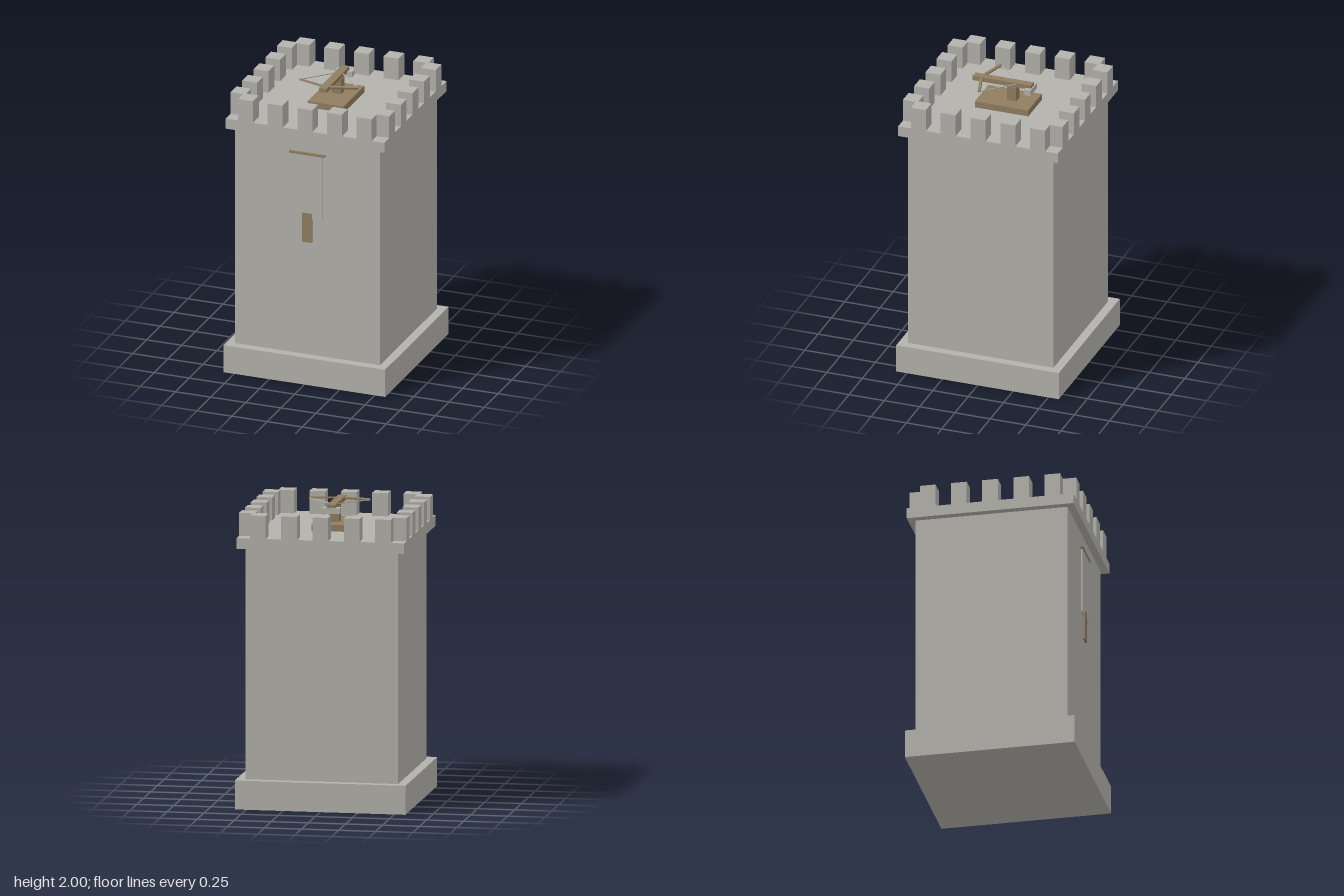
import * as THREE from 'three';

const stone = new THREE.MeshStandardMaterial({ color: 0xb4b2ab });
stone.name = 'stone grey';
const wood = new THREE.MeshStandardMaterial({ color: 0x917e61 });
wood.name = 'wood brown';

// Box given by its min and max on each axis
function box(parent, name, mat, [x0, x1], [y0, y1], [z0, z1]) {
  const m = new THREE.Mesh(new THREE.BoxGeometry(x1 - x0, y1 - y0, z1 - z0), mat);
  m.position.set((x0 + x1) / 2, (y0 + y1) / 2, (z0 + z1) / 2);
  m.name = name;
  parent.add(m);
  return m;
}

// Square bar running between two points
function bar(parent, name, mat, a, b, w, h) {
  const p = new THREE.Vector3(...a), q = new THREE.Vector3(...b);
  const m = new THREE.Mesh(new THREE.BoxGeometry(w, h, p.distanceTo(q)), mat);
  m.position.copy(p).add(q).multiplyScalar(0.5);
  m.lookAt(q);
  m.name = name;
  parent.add(m);
  return m;
}

function group(parent, name) {
  const g = new THREE.Group();
  g.name = name;
  parent.add(g);
  return g;
}

export function createModel() {
  const model = new THREE.Group();
  model.name = 'watchtower';

  // Tower masonry
  box(model, 'plinth', stone, [-0.575, 0.575], [0, 0.195], [-0.575, 0.575]);
  box(model, 'towerBody', stone, [-0.515, 0.515], [0.195, 1.75], [-0.515, 0.515]);
  box(model, 'parapetSlab', stone, [-0.565, 0.565], [1.75, 1.822], [-0.565, 0.565]);

  // Five merlons per side, leaving the very corners open
  for (let side = 0; side < 4; side++) {
    const row = group(model, 'merlonRow');
    row.rotation.y = side * Math.PI / 2;
    for (let i = -2; i <= 2; i++) {
      const x = i * 0.211;
      box(row, 'merlon', stone, [x - 0.053, x + 0.053], [1.822, 1.977], [0.459, 0.565]);
    }
  }

  // Banner on the front wall
  const banner = group(model, 'banner');
  box(banner, 'bannerCloth', stone, [-0.105, 0.105], [1.175, 1.635], [0.517, 0.526]);
  box(banner, 'bannerRod', wood, [-0.126, 0.126], [1.632, 1.648], [0.516, 0.531]);
  box(banner, 'bannerTail', wood, [-0.035, 0.035], [1.005, 1.214], [0.516, 0.529]);

  // Giant crossbow on the roof
  const bow = group(model, 'ballista');
  box(bow, 'platform', wood, [-0.128, 0.128], [1.822, 1.866], [-0.191, 0.187]);
  box(bow, 'post', wood, [-0.033, 0.033], [1.866, 1.968], [-0.07, -0.004]);
  box(bow, 'stock', wood, [-0.027, 0.027], [1.967, 1.998], [-0.173, 0.24]);
  box(bow, 'winch', stone, [-0.06, 0.06], [1.938, 1.977], [-0.181, -0.134]);
  box(bow, 'bolt', wood, [-0.002, 0.002], [1.984, 1.988], [0.1, 0.254]);
  box(bow, 'boltFin', wood, [-0.0015, 0.0015], [1.985, 2], [0.03, 0.06]);
  for (const s of [-1, 1]) {
    const arm = bar(bow, 'bowArm', wood, [s * 0.015, 1.988, 0.183], [s * 0.206, 1.988, 0.127], 0.018, 0.012);
    arm.rotateZ(0.25);
    bar(bow, 'bowString', stone, [s * 0.202, 1.988, 0.122], [s * 0.015, 1.988, -0.075], 0.006, 0.006);
  }
  return model;
}
